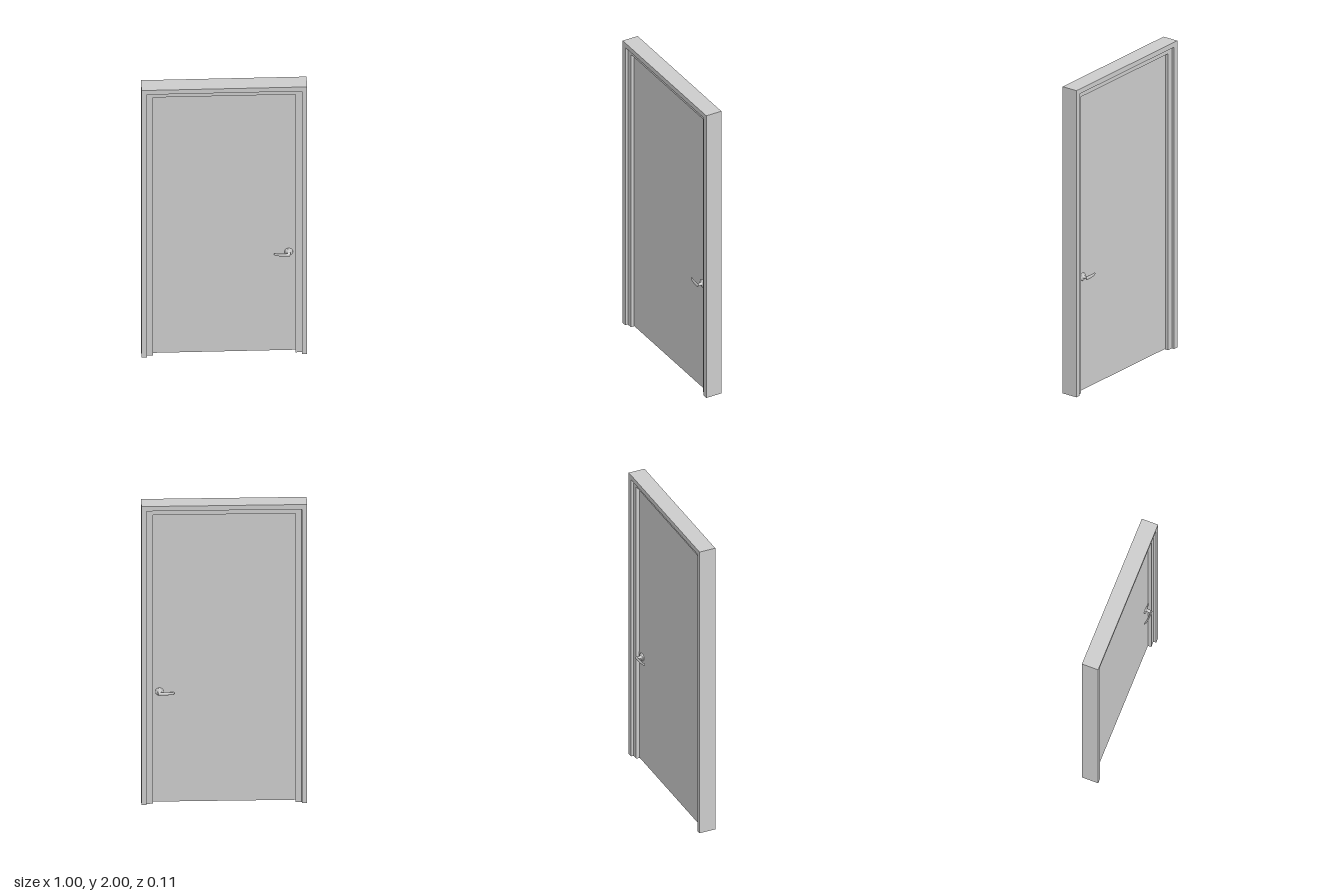
import * as THREE from 'three';

const material = new THREE.MeshStandardMaterial({ color: 0xcccccc, roughness: 0.7 });

function add(parent, name, geometry, x = 0, y = 0, z = 0) {
  const mesh = new THREE.Mesh(geometry, material);
  mesh.name = name;
  mesh.position.set(x, y, z);
  parent.add(mesh);
  return mesh;
}

// Upside-down U, open at the floor, centred in depth
function archGeometry(outer, top, inner, innerTop, depth) {
  const shape = new THREE.Shape([
    [-outer, 0], [-inner, 0], [-inner, innerTop], [inner, innerTop],
    [inner, 0], [outer, 0], [outer, top], [-outer, top],
  ].map(([x, y]) => new THREE.Vector2(x, y)));
  const geometry = new THREE.ExtrudeGeometry(shape, { depth, bevelEnabled: false });
  return geometry.translate(0, 0, -depth / 2);
}

// Curved grip: oval cross-sections swept along a bowed path, rounded at both ends
function leverGeometry() {
  const path = new THREE.CatmullRomCurve3([
    [0.010, 0, 0.050], [-0.010, 0, 0.0505], [-0.035, 0, 0.050],
    [-0.060, 0, 0.0475], [-0.080, 0, 0.043], [-0.090, 0, 0.037],
  ].map((p) => new THREE.Vector3(...p)));
  const rings = 28, sides = 16, positions = [], indices = [];
  for (let i = 0; i <= rings; i++) {
    const t = i / rings;
    const p = path.getPointAt(t), d = path.getTangentAt(t);
    const end = Math.sqrt(Math.max(0, 1 - Math.pow(Math.abs(2 * t - 1), 14)));
    const halfHeight = (0.012 - 0.004 * t) * end;
    const halfDepth = (0.0065 - 0.002 * t) * end;
    for (let j = 0; j < sides; j++) {
      const a = (j / sides) * Math.PI * 2;
      const n = Math.cos(a) * halfDepth;
      positions.push(p.x + d.z * n, p.y + Math.sin(a) * halfHeight, p.z - d.x * n);
    }
  }
  for (let i = 0; i < rings; i++) {
    for (let j = 0; j < sides; j++) {
      const k = (j + 1) % sides;
      const a = i * sides + j, b = i * sides + k, c = a + sides, e = b + sides;
      indices.push(a, b, c, b, e, c);
    }
  }
  const geometry = new THREE.BufferGeometry();
  geometry.setAttribute('position', new THREE.Float32BufferAttribute(positions, 3));
  geometry.setIndex(indices);
  geometry.computeVertexNormals();
  return geometry;
}

// Round plate, neck and lever, facing +z from the middle of the door
function createHandle(name) {
  const handle = new THREE.Group();
  handle.name = name;
  const profile = [
    [0.025, 0.012], [0.025, 0.018], [0.022, 0.021], [0.014, 0.022],
    [0.010, 0.025], [0.009, 0.034], [0.010, 0.046], [0, 0.048],
  ].map(([r, h]) => new THREE.Vector2(r, h));
  add(handle, 'rosette', new THREE.LatheGeometry(profile, 28).rotateX(Math.PI / 2));
  add(handle, 'lever', leverGeometry());
  return handle;
}

export function createModel() {
  const model = new THREE.Group();
  model.name = 'door';

  // Stepped frame: deep casing, then a shallower rebate
  add(model, 'casing', archGeometry(0.5, 2, 0.468, 1.968, 0.105));
  add(model, 'rebate', archGeometry(0.468, 1.968, 0.431, 1.933, 0.07));

  // Door leaf
  add(model, 'doorPanel', new THREE.BoxGeometry(0.862, 1.929, 0.028), 0, 0.9685, 0);

  // Latch plate on the closing edge
  add(model, 'latchPlate', new THREE.BoxGeometry(0.005, 0.028, 0.034), 0.4285, 0.742, 0);

  // Handles on both faces, both pointing toward the hinges
  const front = createHandle('frontHandle');
  front.position.set(0.39, 0.742, 0.0005);
  model.add(front);

  const back = new THREE.Group();
  back.name = 'backHandle';
  const mirrored = createHandle('handleParts');
  mirrored.traverse((part) => {
    if (!part.isMesh) return;
    // Mirror in depth and flip the winding so faces stay outward
    const g = part.geometry.scale(1, 1, -1);
    const idx = g.index;
    for (let i = 0; i < idx.count; i += 3) {
      const b = idx.getX(i + 1);
      idx.setX(i + 1, idx.getX(i + 2));
      idx.setX(i + 2, b);
    }
    g.computeVertexNormals();
  });
  back.add(mirrored);
  back.position.set(0.39, 0.742, -0.0005);
  model.add(back);

  return model;
}
